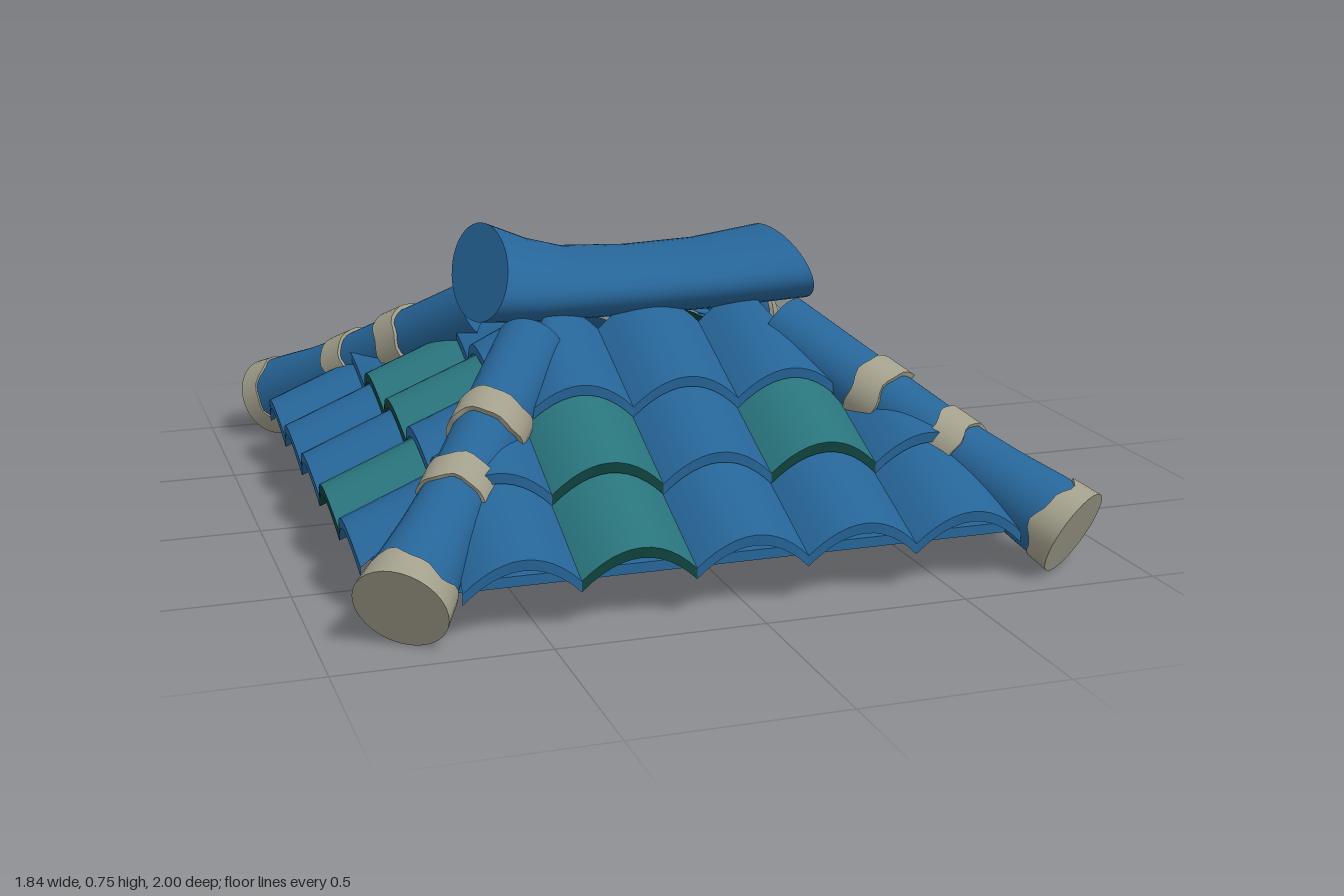
import * as THREE from 'three';
import { toCreasedNormals } from 'three/addons/utils/BufferGeometryUtils.js';

const mat = (name, color) => {
  const m = new THREE.MeshStandardMaterial({ color });
  m.name = name;
  return m;
};

const HALF = 0.137; // half the width of a tile
const CENTRE_Z = -0.012;

// One arched tile facing +z: a top face (group 0), a lip and an underside (group 1).
function tileGeometry(centre, front, rear, baseY, rise, maxU) {
  const N = 12, thick = 0.026;
  const row = (v, y, drop, bow) => {
    const pts = [];
    for (let i = 0; i <= N; i++) {
      const lim = maxU(v);
      const u = THREE.MathUtils.clamp(centre + HALF * (2 * i / N - 1), -lim, lim);
      const t = THREE.MathUtils.clamp((u - centre) / HALF, -1, 1);
      const arch = 1 - t * t;
      pts.push([u, y + 0.07 * arch - drop, v + bow * arch]);
    }
    return pts;
  };
  const top = row(front, baseY, 0, 0.015), low = row(front, baseY, thick, 0.012);
  const backTop = row(rear, baseY + rise, 0, 0), backLow = row(rear, baseY + rise, thick, 0);
  const pos = [], index = [];
  for (const [a, b] of [[top, backTop], [low, top], [backLow, low]]) {
    const s = pos.length / 3;
    a.concat(b).forEach(p => pos.push(...p));
    for (let i = 0; i < N; i++) {
      const p = s + i, q = p + N + 1;
      index.push(p, p + 1, q + 1, p, q + 1, q);
    }
  }
  const g = new THREE.BufferGeometry();
  g.setAttribute('position', new THREE.Float32BufferAttribute(pos, 3));
  g.setIndex(index);
  g.addGroup(0, 6 * N, 0);
  g.addGroup(6 * N, 12 * N, 1);
  g.computeVertexNormals();
  return g;
}

// Turned part along y; points above "from" get a ragged edge.
function turned(profile, ragged = 0, seed = 0, from = -1) {
  const g = new THREE.LatheGeometry(profile.map(p => new THREE.Vector2(...p)), 32);
  const p = g.attributes.position;
  for (let i = 0; i < p.count; i++) {
    const a = Math.atan2(p.getX(i), p.getZ(i));
    if (p.getY(i) > from) {
      p.setY(i, p.getY(i) + ragged * (Math.sin(3 * a + seed) + 0.5 * Math.sin(7 * a + 2 * seed)));
    }
  }
  return toCreasedNormals(g, 0.6);
}

// Ridge beam: oval sections lofted along x, closed by sections of zero size.
function ridgeGeometry() {
  // x, centre y, half height, half depth, end tilt, roll
  const left = [-0.415, 0.648, 0.098, 0.225, 0.05, 0.17];
  const right = [0.415, 0.626, 0.093, 0.23, -0.03, 0];
  const sections = [
    left, left,
    [-0.3, 0.62, 0.094, 0.208, 0.03, 0.08],
    [-0.19, 0.606, 0.088, 0.196, 0.01, 0.02],
    [0, 0.602, 0.086, 0.192, 0, 0],
    [0.2, 0.607, 0.088, 0.198, -0.01, 0],
    right, right,
  ];
  const N = 40, pos = [], index = [];
  sections.forEach(([x, cy, hy, hz, tilt, roll], s) => {
    const k = s === 0 || s === sections.length - 1 ? 0 : 1;
    for (let i = 0; i < N; i++) {
      const a = 2 * Math.PI * i / N, c = k * Math.cos(a), z = k * hz * Math.sin(a);
      pos.push(x + tilt * c, cy + hy * c - roll * z, 0.015 + z);
      if (s < sections.length - 1) {
        const p = s * N + i, q = s * N + (i + 1) % N;
        index.push(p, q, q + N, p, q + N, p + N);
      }
    }
  });
  const g = new THREE.BufferGeometry();
  g.setAttribute('position', new THREE.Float32BufferAttribute(pos, 3));
  g.setIndex(index);
  return toCreasedNormals(g, 0.6);
}

export function createModel() {
  const blue = mat('blue clay', 0x266598);
  const teal = mat('teal clay', 0x29747c);
  const darkTeal = mat('dark teal edge', 0x10443f);
  const beige = mat('beige binding', 0xa29f8b);
  const model = new THREE.Group();
  model.name = 'tiledRoof';
  const add = (parent, geometry, material, name) => {
    const m = new THREE.Mesh(geometry, material);
    m.name = name;
    parent.add(m);
    return m;
  };

  // Thin base plate
  add(model, new THREE.BoxGeometry(1.64, 0.025, 1.7), blue, 'basePlate')
    .position.set(0, 0.108, CENTRE_Z);

  // Four slopes of tiles, trimmed along the hips; teal tiles are listed as row-column
  const longEdges = [0.925, 0.685, 0.455, 0.16], shortEdges = [0.865, 0.64, 0.41, 0.16];
  const longLimit = v => 0.5 + (v - 0.46) / 1.36;
  const shortLimit = v => Math.max(0.02, 0.46 + (v - 0.5) * 1.36);
  const slopes = [
    ['frontSlope', 0, longEdges, longLimit, ['0-1', '1-1', '1-3']],
    ['leftSlope', Math.PI / 2, shortEdges, shortLimit, ['1-1', '1-2', '1-3']],
    ['backSlope', Math.PI, longEdges, longLimit, ['0-2', '1-1', '2-3']],
    ['rightSlope', -Math.PI / 2, shortEdges, shortLimit, ['0-3', '1-1', '1-2']],
  ];
  for (const [name, turn, edges, limit, teals] of slopes) {
    const slope = new THREE.Group();
    slope.name = name;
    slope.rotation.y = turn;
    slope.position.z = CENTRE_Z;
    for (let r = 0; r < 3; r++) {
      for (let c = 0; c < 5; c++) {
        const rear = edges[r + 1] - (r < 2 ? 0.02 : 0);
        const g = tileGeometry((c - 2) * 2 * HALF, edges[r], rear,
          0.12 + 0.128 * r, r < 2 ? 0.108 : 0.13, limit);
        add(slope, g, teals.includes(`${r}-${c}`) ? [teal, darkTeal] : [blue, blue], 'tile');
      }
    }
    model.add(slope);
  }

  // Hip beams with end collars and two bindings each
  const up = new THREE.Vector3(0, 1, 0);
  let seed = 0;
  for (const sx of [-1, 1]) {
    for (const sz of [-1, 1]) {
      const foot = new THREE.Vector3(sx * 0.825, 0.105, sz * 0.922 - 0.005);
      const head = new THREE.Vector3(sx * 0.33, 0.5, sz * 0.22 - 0.005);
      const hip = new THREE.Group();
      hip.name = 'hipBeam';
      hip.position.copy(foot);
      hip.quaternion.setFromUnitVectors(up, head.clone().sub(foot).normalize());
      add(hip, turned([[0, 0.01], [0.106, 0.01], [0.1, 0.1], [0.088, 0.22], [0.08, 0.36],
        [0.083, 0.6], [0.088, 0.93], [0, 0.93]]), blue, 'beam');
      add(hip, turned([[0, 0], [0.113, 0], [0.108, 0.065], [0.098, 0.065]],
        0.012, ++seed, 0.03), beige, 'endCollar');
      for (const [at, r] of [[0.38, 0.09], [0.61, 0.095]]) {
        add(hip, turned([[0.07, at - 0.04], [r, at - 0.04], [r, at + 0.04], [0.07, at + 0.04]],
          0.007, ++seed * 1.7), beige, 'binding');
      }
      model.add(hip);
    }
  }

  // Ridge beam across the top
  add(model, ridgeGeometry(), blue, 'ridgeBeam');
  return model;
}
